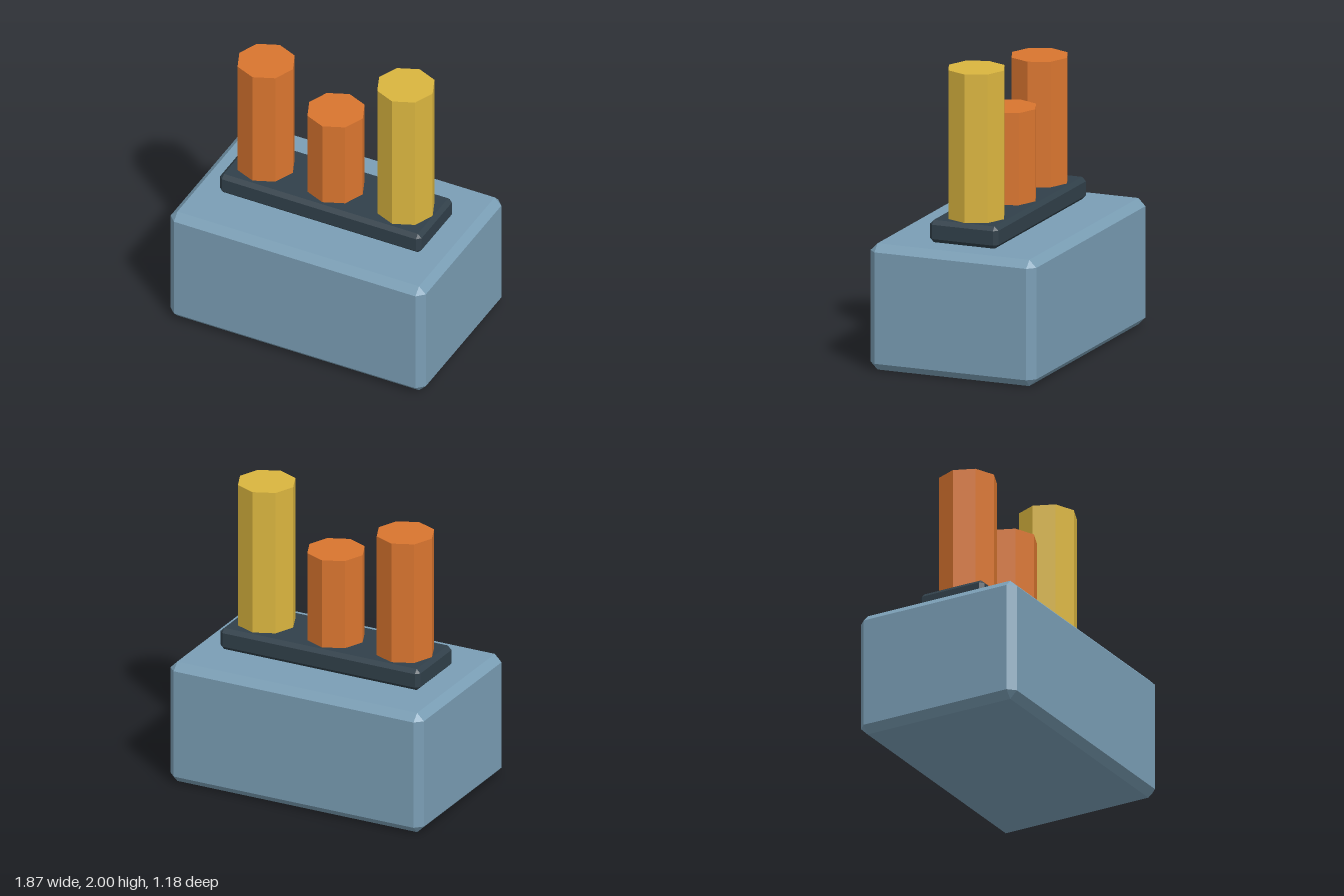
import * as THREE from 'three';
import { ConvexGeometry } from 'three/addons/geometries/ConvexGeometry.js';

const material = (color) => new THREE.MeshStandardMaterial({ color, flatShading: true });

// Box with 45-degree chamfers on every edge, standing on y = 0
function chamferedBox(width, height, depth, c) {
  const x = width / 2, y = height / 2, z = depth / 2;
  const points = [];
  for (const sx of [-1, 1]) for (const sy of [-1, 1]) for (const sz of [-1, 1]) {
    points.push(
      new THREE.Vector3(sx * x, sy * (y - c), sz * (z - c)),
      new THREE.Vector3(sx * (x - c), sy * y, sz * (z - c)),
      new THREE.Vector3(sx * (x - c), sy * (y - c), sz * z)
    );
  }
  return new ConvexGeometry(points).translate(0, y, 0);
}

export function createModel() {
  const group = new THREE.Group();
  const add = (name, geometry, mat, x, y) => {
    const mesh = new THREE.Mesh(geometry, mat);
    mesh.name = name;
    mesh.position.set(x, y, 0);
    group.add(mesh);
  };

  const orange = material(0xd9752f);
  const yellow = material(0xdab53f);

  // Body block and the dark plate on top of it
  add('body', chamferedBox(1.87, 0.85, 1.18, 0.05), material(0x7a9eb5), 0, 0);
  add('topPlate', chamferedBox(1.475, 0.15, 0.486, 0.027), material(0x31404a), 0, 0.85);

  // Three octagonal pillars of different heights
  const plateTop = 1;
  const pillars = [
    ['rightPillar', -0.512, 1.845, orange],
    ['middlePillar', 0, 1.62, orange],
    ['leftPillar', 0.512, 2, yellow],
  ];
  for (const [name, x, top, mat] of pillars) {
    const height = top - plateTop;
    add(name, new THREE.CylinderGeometry(0.196, 0.196, height, 8), mat, x, plateTop + height / 2);
  }

  return group;
}
